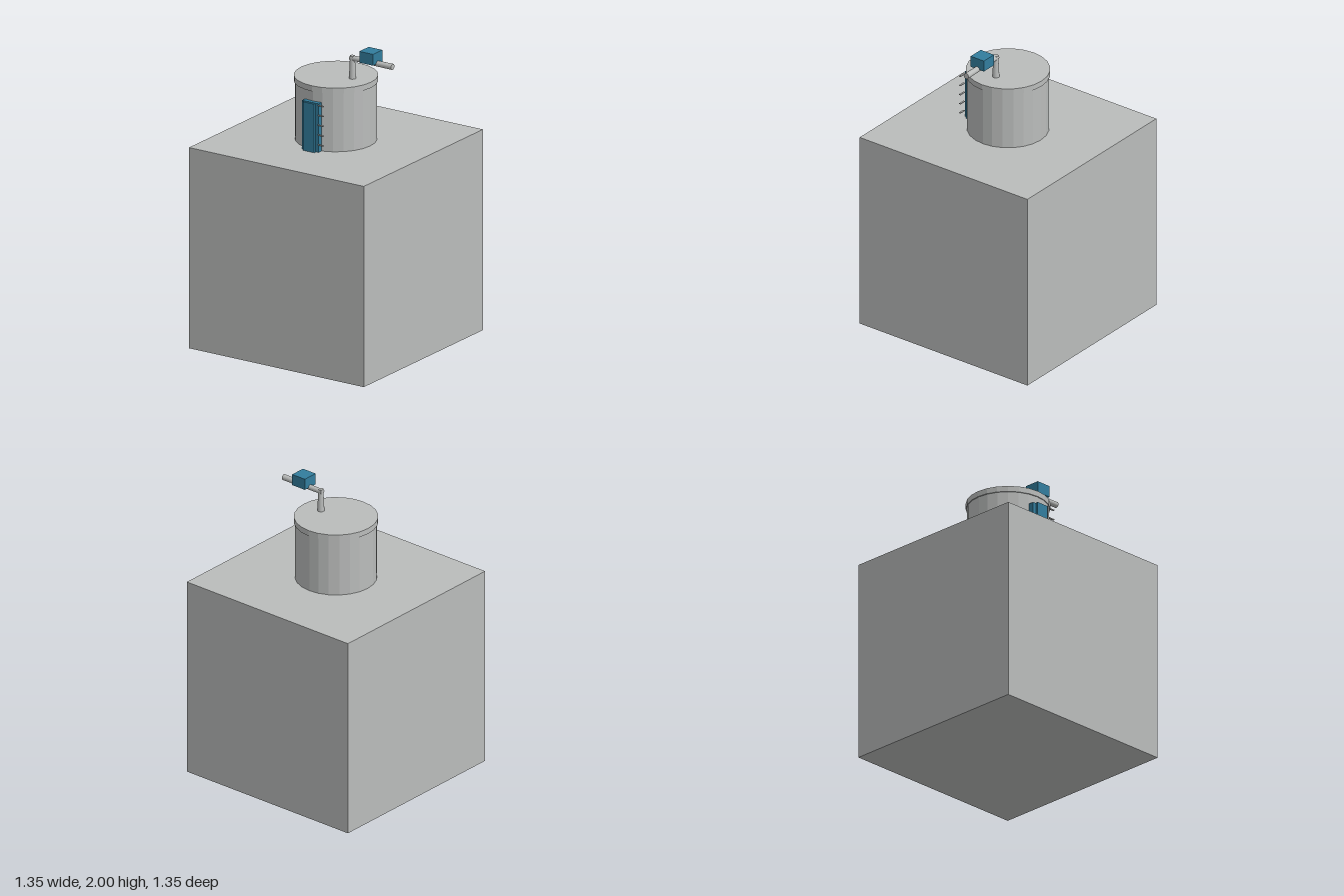
import * as THREE from 'three';

export function createModel() {
  const model = new THREE.Group();
  const grey = new THREE.MeshStandardMaterial({ color: 0xbabcbb, flatShading: true });
  grey.name = 'light grey';
  const steel = new THREE.MeshStandardMaterial({ color: 0xbabcbb });
  steel.name = 'steel grey';
  const blue = new THREE.MeshStandardMaterial({ color: 0x327d9d });
  blue.name = 'teal blue';

  const add = (name, geometry, material, x, y, z) => {
    const mesh = new THREE.Mesh(geometry, material);
    mesh.name = name;
    mesh.position.set(x, y, z);
    model.add(mesh);
    return mesh;
  };
  // box from its minimum and maximum corners
  const box = (name, material, [x0, y0, z0], [x1, y1, z1]) =>
    add(name, new THREE.BoxGeometry(x1 - x0, y1 - y0, z1 - z0), material,
      (x0 + x1) / 2, (y0 + y1) / 2, (z0 + z1) / 2);

  // base block
  box('baseBlock', grey, [-0.675, 0, -0.675], [0.675, 1.355, 0.675]);

  // tank with a slightly wider lid
  add('tank', new THREE.CylinderGeometry(0.263, 0.263, 0.4, 24), grey, 0, 1.555, 0);
  add('lid', new THREE.CylinderGeometry(0.27, 0.27, 0.038, 24), grey, 0, 1.768, 0);

  // tapered riser and horizontal outlet pipe
  add('riserPipe', new THREE.CylinderGeometry(0.016, 0.023, 0.155, 16), steel, 0.127, 1.862, 0);
  const outlet = add('outletPipe', new THREE.CylinderGeometry(0.017, 0.02, 0.325, 16), steel, 0.275, 1.923, 0);
  outlet.rotation.z = Math.PI / 2;

  // valve box on the outlet
  box('valveBox', blue, [0.216, 1.924, -0.053], [0.322, 2, 0.053]);

  // level gauge with its raised strip and tick marks
  box('gaugePlate', blue, [-0.064, 1.355, 0.245], [0.063, 1.683, 0.29]);
  box('gaugeStrip', blue, [-0.044, 1.355, 0.296], [0.044, 1.683, 0.311]);
  for (let i = 0; i < 5; i++) {
    const y = 1.411 + i * 0.0665;
    box('gaugeTick', grey, [0.066, y - 0.003, 0.297], [0.11, y + 0.003, 0.308]);
  }
  return model;
}
